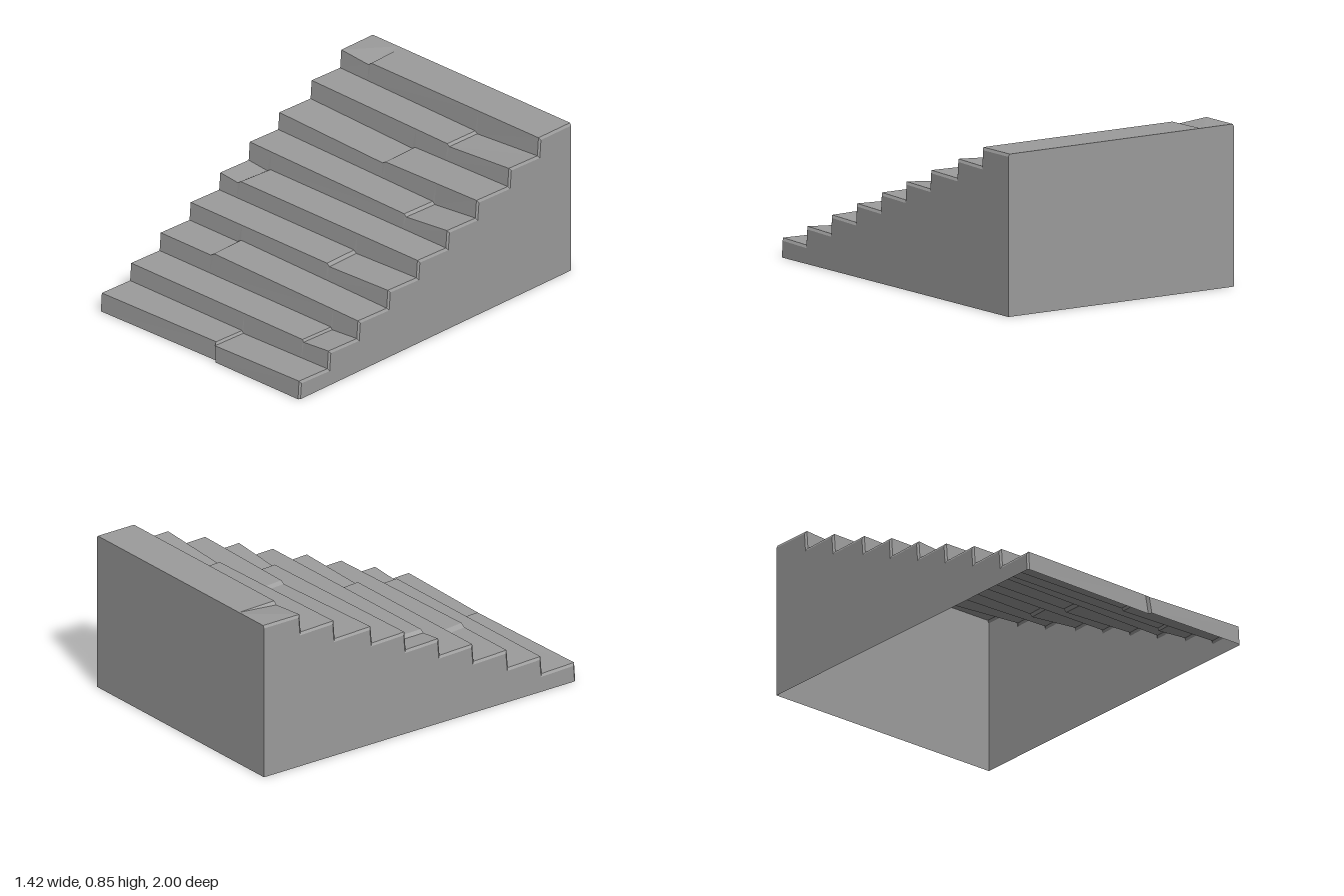
import * as THREE from 'three';

const W = 0.71, CH = 0.01; // half width, worn corner size
const LEAN = 0.008, SAG = 0.006; // riser lean, tread fall towards the back

// Each step: front z, edge height at left end, left and right of the crack, right end,
// x of the crack's two sides at the front, and the shift of the crack at the back
const STEPS = [
  { z: 0.993, y: [0.103, 0.103, 0.09, 0.102], x: [0.095, 0.104], slant: 0 },
  { z: 0.777, y: [0.195, 0.195, 0.182, 0.195], x: [0.518, 0.526], slant: 0 },
  { z: 0.56, y: [0.289, 0.289, 0.305, 0.288], x: [-0.345, -0.32], slant: -0.015 },
  { z: 0.34, y: [0.382, 0.382, 0.368, 0.382], x: [0.27, 0.287], slant: -0.012 },
  { z: 0.122, y: [0.472, 0.459, 0.473, 0.473], x: [-0.577, -0.556], slant: 0.008 },
  { z: -0.095, y: [0.568, 0.551, 0.538, 0.564], x: [0.398, 0.413], slant: 0 },
  { z: -0.312, y: [0.657, 0.632, 0.645, 0.657], x: [0.034, 0.055], slant: -0.012 },
  { z: -0.55, y: [0.753, 0.737, 0.725, 0.753], x: [0.264, 0.279], slant: -0.005 },
  { z: -0.768, y: [0.848, 0.832, 0.848, 0.848], x: [-0.508, -0.488], slant: -0.01 },
];

const material = new THREE.MeshStandardMaterial({ color: 0x9c9c9c, flatShading: true, side: THREE.DoubleSide });

// Surface between two rows of points of equal length
function strip(a, b, name) {
  const pos = [];
  for (let i = 0; i < a.length - 1; i++) {
    pos.push(...a[i], ...a[i + 1], ...b[i + 1], ...a[i], ...b[i + 1], ...b[i]);
  }
  const geo = new THREE.BufferGeometry();
  geo.setAttribute('position', new THREE.Float32BufferAttribute(pos, 3));
  geo.computeVertexNormals();
  const mesh = new THREE.Mesh(geo, material);
  mesh.name = name;
  return mesh;
}

// Line across a step with worn ends and a crack
function row(step, z, drop, shift, inset) {
  const [l, cl, cr, r] = step.y.map((y) => y - drop);
  return [
    [-W, l - CH * 1.4, z - inset],
    [-W + CH * 0.8, l, z],
    [step.x[0] + shift, cl, z],
    [step.x[1] + shift, cr, z],
    [W - CH * 0.8, r, z],
    [W, r - CH * 1.4, z - inset],
  ];
}

// Point on a row at a given x
function at(points, x) {
  let i = 0;
  while (i < points.length - 2 && x > points[i + 1][0]) i++;
  const [p, q] = [points[i], points[i + 1]];
  const t = (x - p[0]) / (q[0] - p[0]);
  return p.map((v, k) => v + (q[k] - v) * t);
}

export function createModel() {
  const group = new THREE.Group();
  group.name = 'staircase';
  const n = STEPS.length;

  // Front and back edges of every tread
  const fronts = STEPS.map((s) => row(s, s.z, 0, 0, CH));
  const backs = STEPS.map((s, i) => {
    const last = i === n - 1;
    return row(s, last ? -1 : STEPS[i + 1].z + LEAN, last ? 0 : SAG, s.slant, last ? 0 : CH);
  });
  fronts[0][2][2] -= 0.018; // the left half of the lowest step is pushed in at the crack
  const rear = backs[n - 1];
  rear[2][1] = rear[1][1]; // the crack of the top step runs out level at the back wall

  // Foot of the lowest riser
  const foot = fronts[0].map(([x, , z], i) => [x + (i === 2 || i === 3 ? 0.012 : 0), 0, z + 0.007]);

  for (let i = 0; i < n; i++) {
    group.add(strip(fronts[i], backs[i], `tread${i + 1}`));
    if (i === 0) {
      group.add(strip(foot, fronts[0], 'riser1'));
    } else {
      const xs = [...new Set([...backs[i - 1], ...fronts[i]].map((p) => p[0]))].sort((a, b) => a - b);
      group.add(strip(xs.map((x) => at(backs[i - 1], x)), xs.map((x) => at(fronts[i], x)), `riser${i + 1}`));
    }
  }

  // Side walls follow the stepped outline down to the ground
  for (const [k, name] of [[0, 'rightWall'], [5, 'leftWall']]) {
    const top = [foot[k]];
    for (let i = 0; i < n; i++) top.push(fronts[i][k], backs[i][k]);
    const base = top.map(([x, , z]) => [x, 0, z]);
    group.add(k ? strip(base, top, name) : strip(top, base, name));
  }

  // Back wall; the underside stays open
  group.add(strip(rear, rear.map(([x, , z]) => [x, 0, z]), 'backWall'));
  return group;
}
